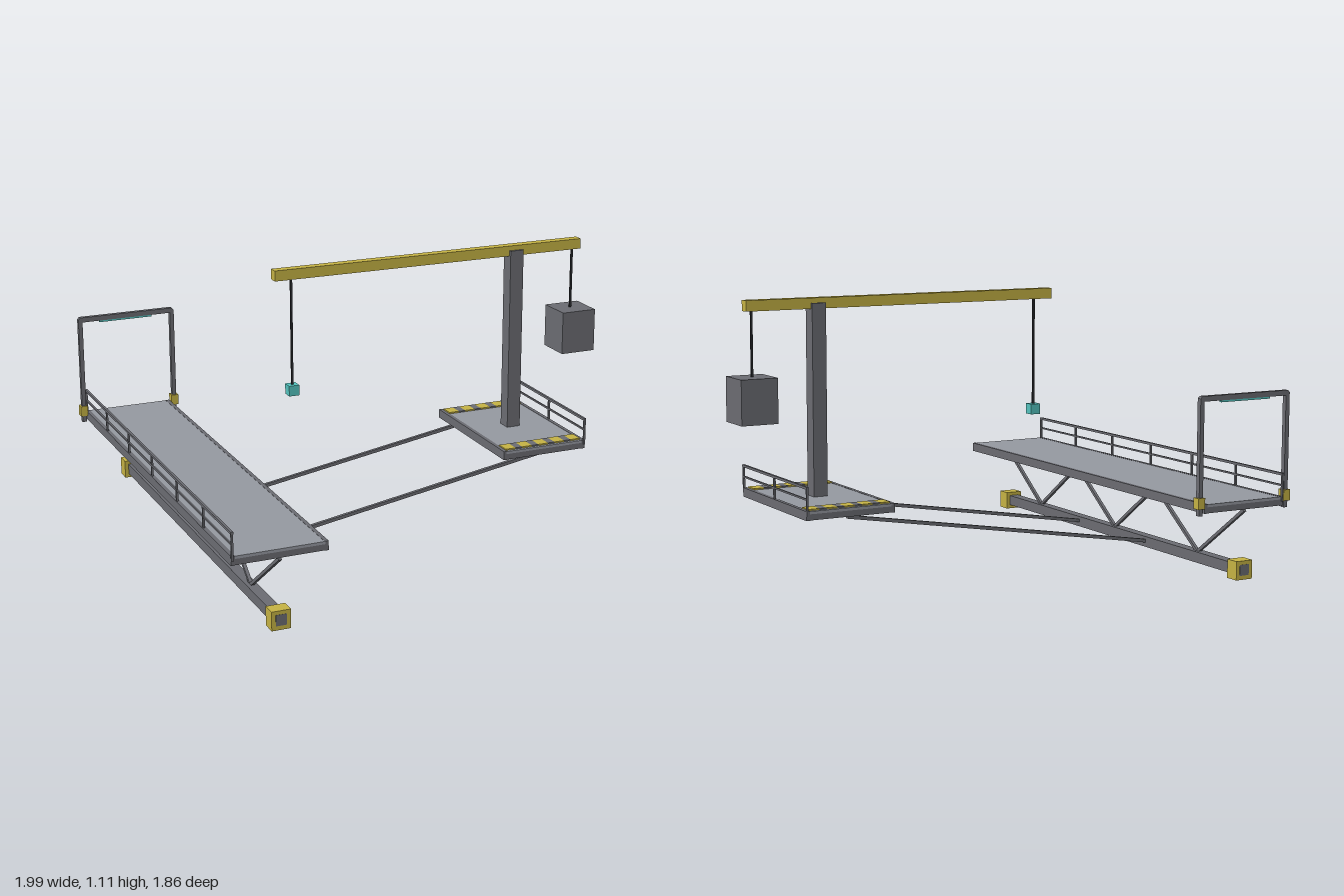
import * as THREE from 'three';

const mat = (name, color) => {
  const m = new THREE.MeshStandardMaterial({ color });
  m.name = name;
  return m;
};

export function createModel() {
  const steel = mat('steel grey', 0x6d6e74);
  const plate = mat('deck grey', 0x979ba3);
  const yellow = mat('safety yellow', 0xc8b545);
  const teal = mat('signal teal', 0x55c5c0);
  const dark = mat('dark cable', 0x2b2d31);
  const root = new THREE.Group();
  root.name = 'gantryWalkway';

  const group = (name) => {
    const g = new THREE.Group();
    g.name = name;
    root.add(g);
    return g;
  };
  // Box given by its limits on each axis
  const box = (parent, name, m, [x0, x1], [y0, y1], [z0, z1]) => {
    const mesh = new THREE.Mesh(new THREE.BoxGeometry(x1 - x0, y1 - y0, z1 - z0), m);
    mesh.position.set((x0 + x1) / 2, (y0 + y1) / 2, (z0 + z1) / 2);
    mesh.name = name;
    parent.add(mesh);
    return mesh;
  };
  // Square bar between two points
  const bar = (parent, name, m, a, b, t) => {
    const p = new THREE.Vector3(...a), q = new THREE.Vector3(...b);
    const mesh = new THREE.Mesh(new THREE.BoxGeometry(t, t, p.distanceTo(q)), m);
    mesh.position.copy(p).add(q).multiplyScalar(0.5);
    mesh.lookAt(q);
    mesh.name = name;
    parent.add(mesh);
  };
  // Deck plate on two stringers with cross members below
  const deck = (g, x0, x1, z0, z1, bays) => {
    box(g, 'deckPlate', plate, [x0 + 0.012, x1 - 0.012], [0.308, 0.319], [z0, z1]);
    box(g, 'stringer', steel, [x0, x0 + 0.016], [0.283, 0.32], [z0, z1]);
    box(g, 'stringer', steel, [x1 - 0.016, x1], [0.283, 0.32], [z0, z1]);
    for (let i = 0; i <= bays; i++) {
      const z = z0 + 0.009 + (z1 - z0 - 0.018) * i / bays;
      box(g, 'crossMember', steel, [x0 + 0.016, x1 - 0.016], [0.284, 0.308], [z - 0.009, z + 0.009]);
    }
  };
  // Handrail with a middle rail and evenly spaced posts
  const railing = (g, x, z0, z1, bays) => {
    for (const [y, t] of [[0.41, 0.01], [0.365, 0.007]]) bar(g, 'rail', steel, [x, y, z0], [x, y, z1], t);
    for (let i = 0; i <= bays; i++) {
      const z = z0 + 0.004 + (z1 - z0 - 0.008) * i / bays;
      bar(g, 'railPost', steel, [x, 0.3, z], [x, 0.41, z], 0.008);
    }
  };

  // Long walkway
  const walkway = group('walkway');
  deck(walkway, -0.963, -0.583, -0.92, 0.92, 6);
  railing(walkway, -0.958, -0.925, 0.925, 6);

  // Lower beam with end blocks and zigzag truss
  const truss = group('truss');
  const bx = -0.775;
  box(truss, 'lowerBeam', steel, [bx - 0.022, bx + 0.022], [0.02, 0.064], [-0.927, 0.927]);
  for (const s of [-1, 1]) {
    const z = s * 0.896;
    box(truss, 'endBlock', yellow, [bx - 0.038, bx + 0.038], [0.003, 0.079], [z - 0.03, z + 0.03]);
  }
  for (let i = 0; i < 6; i++) {
    const height = (k) => (k % 2 ? 0.06 : 0.282);
    const at = (k) => [bx, height(k), -0.92 + k * 0.92 / 3];
    bar(truss, 'diagonal', steel, at(i), at(i + 1), 0.013);
  }

  // Portal frame at the back end, with cut corners
  const portal = group('portal');
  const outline = [[-0.985, 0.275], [-0.985, 0.736], [-0.977, 0.745], [-0.563, 0.745], [-0.555, 0.736], [-0.555, 0.275],
    [-0.573, 0.275], [-0.573, 0.724], [-0.967, 0.724], [-0.967, 0.275]];
  const shape = new THREE.Shape(outline.map((p) => new THREE.Vector2(...p)));
  const frame = new THREE.Mesh(new THREE.ExtrudeGeometry(shape, { depth: 0.02, bevelEnabled: false }), steel);
  frame.position.z = -0.921;
  frame.name = 'portalFrame';
  portal.add(frame);
  for (const x of [-0.977, -0.563]) {
    box(portal, 'portalFoot', yellow, [x - 0.016, x + 0.016], [0.303, 0.347], [-0.928, -0.895]);
  }
  box(portal, 'lightStrip', teal, [-0.89, -0.655], [0.716, 0.724], [-0.917, -0.905]);

  // Side platform with hazard strips
  const platform = group('platform');
  deck(platform, 0.455, 0.835, -0.308, 0.308, 3);
  railing(platform, 0.831, -0.312, 0.312, 2);
  for (const z of [-0.265, 0.265]) {
    for (let i = 0; i < 9; i++) {
      const x = 0.47 + Math.floor(i / 2) * 0.076 + (i % 2) * 0.045;
      const w = i % 2 ? 0.031 : 0.045;
      box(platform, 'hazardStripe', i % 2 ? steel : yellow, [x, x + w], [0.319, 0.325], [z - 0.03, z + 0.03]);
    }
  }

  // Struts from the lower beam to the platform
  const struts = group('struts');
  for (const z of [-0.26, 0.26]) bar(struts, 'strut', steel, [bx, 0.042, z], [0.64, 0.275, z], 0.014);

  // Crane: mast, boom, hook block and counterweight
  const crane = group('crane');
  box(crane, 'mast', steel, [0.614, 0.674], [0.3, 1.09], [-0.03, 0.03]);
  box(crane, 'boom', yellow, [-0.432, 0.95], [1.067, 1.11], [-0.02, 0.02]);
  bar(crane, 'hookCable', dark, [-0.356, 0.62, 0], [-0.356, 1.07, 0], 0.008);
  box(crane, 'hookBlock', teal, [-0.378, -0.334], [0.583, 0.626], [-0.022, 0.022]);
  bar(crane, 'weightCable', dark, [0.92, 0.8, 0], [0.92, 1.07, 0], 0.008);
  box(crane, 'counterweight', steel, [0.844, 0.998], [0.63, 0.81], [-0.077, 0.077]);

  return root;
}
